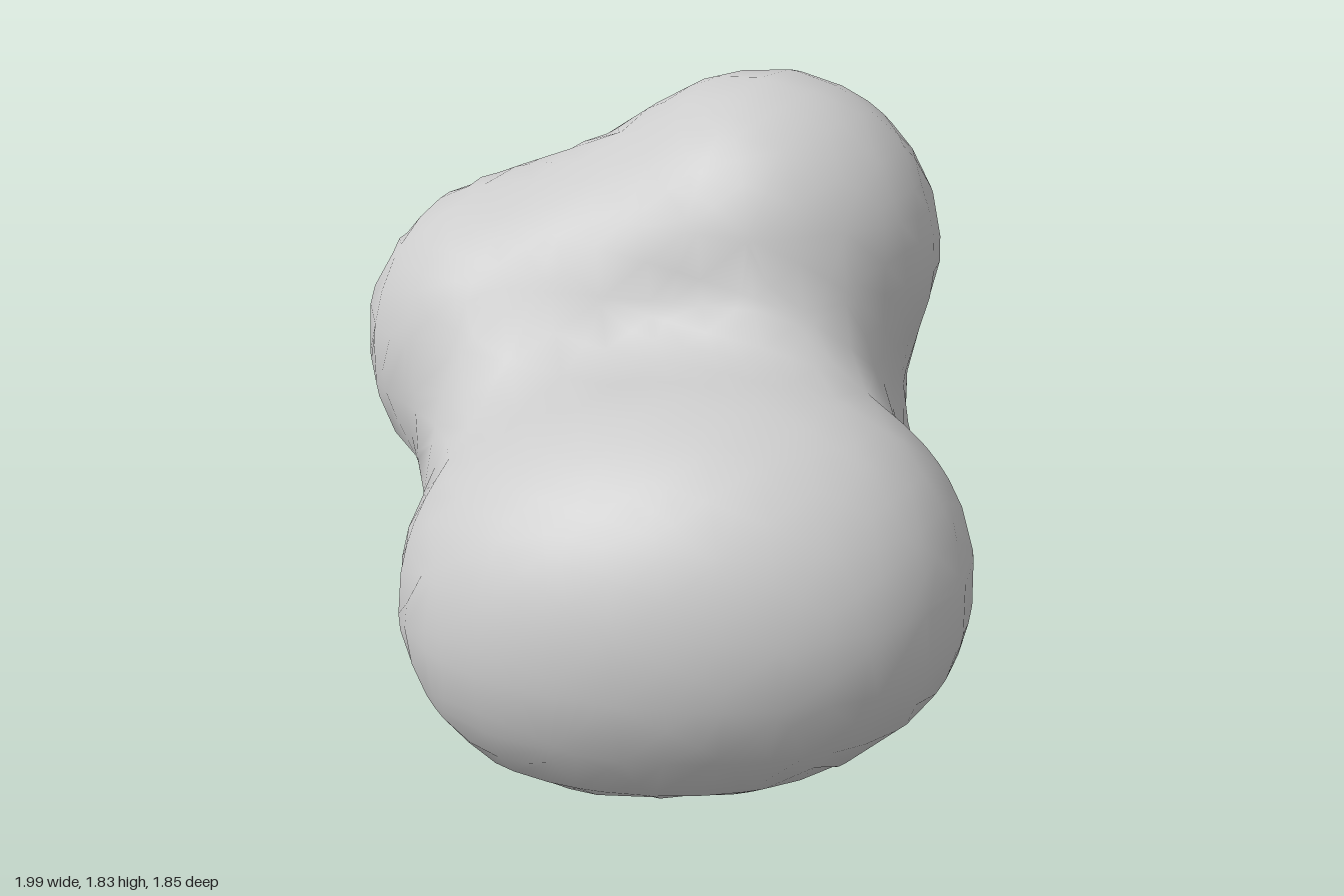
import * as THREE from 'three';

// Five equal soft balls that melt together into one skin
const BALLS = [
  [0.06, 1.345, -0.435], // upper back lobe
  [0.09, 0.5, -0.435], // lower back lobe
  [-0.505, 1.05, -0.12], // side lobe
  [0.08, 0.645, 0.43], // front lobe
  [0.505, 0.735, 0.23], // front lobe, outer half
].map((p) => new THREE.Vector3(...p));
const REACH = 0.86;
const LEVEL = 0.6;
const CELL = 0.1715;
const START = new THREE.Vector3(-1.272, -0.206, -1.208);
const COUNT = [15, 14, 14];

// Strength of the merged balls at a point, positive inside the skin
function field(p) {
  let sum = -LEVEL;
  for (const b of BALLS) {
    const f = 1 - p.distanceToSquared(b) / (REACH * REACH);
    if (f > 0) sum += 2 * f ** 3;
  }
  return sum;
}

// Outward direction of the skin at a point
function outward(p) {
  const n = new THREE.Vector3();
  for (const b of BALLS) {
    const f = 1 - p.distanceToSquared(b) / (REACH * REACH);
    if (f > 0) n.addScaledVector(p.clone().sub(b), f * f);
  }
  return n.normalize();
}

// Point where the skin crosses the edge between an inner and an outer corner
function crossing(inner, outer) {
  const a = inner.p.clone();
  const b = outer.p.clone();
  for (let i = 0; i < 14; i++) {
    const mid = a.clone().lerp(b, 0.5);
    if (field(mid) > 0) a.copy(mid);
    else b.copy(mid);
  }
  return a;
}

function blobGeometry() {
  const positions = [];
  const normals = [];

  function triangle(a, b, c) {
    const face = b.clone().sub(a).cross(c.clone().sub(a));
    const facing = outward(a).add(outward(b)).add(outward(c));
    const corners = face.dot(facing) > 0 ? [a, b, c] : [a, c, b];
    for (const p of corners) {
      positions.push(p.x, p.y, p.z);
      normals.push(...outward(p).toArray());
    }
  }

  // Cut one tetrahedron by the skin
  function cut(corners) {
    const ins = corners.filter((c) => c.v > 0);
    const outs = corners.filter((c) => c.v <= 0);
    if (ins.length === 2) {
      const [a, b, c, d] = [[0, 0], [0, 1], [1, 1], [1, 0]].map(([i, o]) => crossing(ins[i], outs[o]));
      triangle(a, b, c);
      triangle(a, c, d);
    } else if (ins.length === 1) {
      triangle(...outs.map((o) => crossing(ins[0], o)));
    } else if (ins.length === 3) {
      triangle(...ins.map((i) => crossing(i, outs[0])));
    }
  }

  // Sample the lattice
  const corner = (i, j, k) => {
    const p = new THREE.Vector3(i, j, k).multiplyScalar(CELL).add(START);
    return { p, v: field(p) };
  };
  const [nx, ny, nz] = COUNT;
  const lattice = [];
  for (let i = 0; i <= nx; i++)
    for (let j = 0; j <= ny; j++)
      for (let k = 0; k <= nz; k++) lattice.push(corner(i, j, k));
  const at = ([i, j, k]) => lattice[(i * (ny + 1) + j) * (nz + 1) + k];

  // Split each cell into six tetrahedra, one per order of stepping along the axes
  const orders = [[0, 1, 2], [0, 2, 1], [1, 0, 2], [1, 2, 0], [2, 0, 1], [2, 1, 0]];
  for (let i = 0; i < nx; i++)
    for (let j = 0; j < ny; j++)
      for (let k = 0; k < nz; k++)
        for (const order of orders) {
          const step = [i, j, k];
          const corners = [at(step)];
          for (const axis of order) {
            step[axis]++;
            corners.push(at(step));
          }
          cut(corners);
        }

  const geometry = new THREE.BufferGeometry();
  geometry.setAttribute('position', new THREE.Float32BufferAttribute(positions, 3));
  geometry.setAttribute('normal', new THREE.Float32BufferAttribute(normals, 3));
  return geometry;
}

export function createModel() {
  const model = new THREE.Group();
  model.name = 'blob';
  const skin = new THREE.Mesh(blobGeometry(), new THREE.MeshStandardMaterial({ color: 0xcccccc }));
  skin.name = 'blobSkin';
  model.add(skin);
  return model;
}
